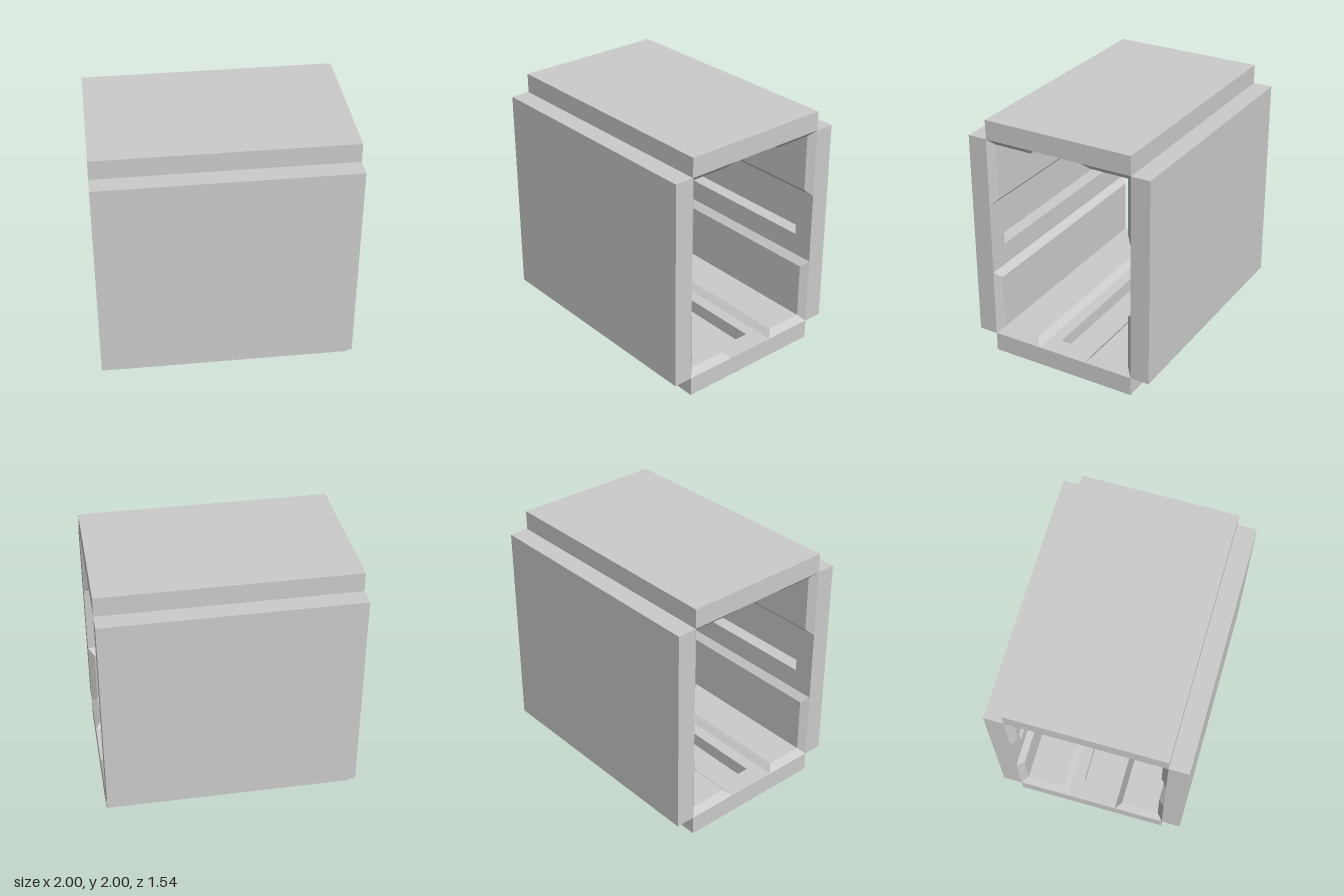
import * as THREE from 'three';

const material = new THREE.MeshStandardMaterial({ color: 0xcccccc, flatShading: true });

const THICK = 0.155;   // panel thickness
const RAISE = 0.05;    // pad height and bevel width
const SLOT = { hx: 0.835, hy: 0.11, depth: 0.11 };

// Joins rectangular sections [halfX, y0, y1, z] in order and closes both ends
function loft(sections, name) {
  const rings = sections.map(([hx, y0, y1, z]) => [
    [-hx, y0, z], [hx, y0, z], [hx, y1, z], [-hx, y1, z],
  ]);
  const pos = [];
  const quad = (a, b, c, d) => [a, b, c, a, c, d].forEach((p) => pos.push(...p));
  quad(...rings[0]);
  for (let r = 0; r + 1 < rings.length; r++) {
    for (let i = 0; i < 4; i++) {
      const j = (i + 1) % 4;
      quad(rings[r][i], rings[r + 1][i], rings[r + 1][j], rings[r][j]);
    }
  }
  quad(...[...rings[rings.length - 1]].reverse());
  const geometry = new THREE.BufferGeometry();
  geometry.setAttribute('position', new THREE.Float32BufferAttribute(pos, 3));
  geometry.computeVertexNormals();
  const mesh = new THREE.Mesh(geometry, material);
  mesh.name = name;
  return mesh;
}

// Panel facing +z: outer face at z = reach, slot and two bevelled pads inside
function panel(name, reach, halfHeight, padStart, angle) {
  const group = new THREE.Group();
  group.name = name;
  const inner = reach - THICK;

  // Slab with a blind slot in its inner face
  group.add(loft([
    [1, -halfHeight, halfHeight, reach],
    [1, -halfHeight, halfHeight, inner],
    [SLOT.hx, -SLOT.hy, SLOT.hy, inner],
    [SLOT.hx, -SLOT.hy, SLOT.hy, inner + SLOT.depth],
  ], 'slab'));

  // Raised pads, bevelled on all four sides
  for (const [y0, y1] of [[padStart, halfHeight], [-halfHeight, -padStart]]) {
    group.add(loft([
      [1, y0, y1, inner],
      [1 - RAISE, y0 + RAISE, y1 - RAISE, inner - RAISE],
    ], 'pad'));
  }

  group.position.y = 1;
  group.rotation.x = angle;
  return group;
}

export function createModel() {
  const model = new THREE.Group();
  model.name = 'openSleeve';
  model.add(
    panel('frontPanel', 0.77, 0.845, 0.29, 0),
    panel('backPanel', 0.77, 0.845, 0.29, Math.PI),
    panel('topPanel', 1, 0.615, 0.205, -Math.PI / 2),
    panel('bottomPanel', 1, 0.615, 0.205, Math.PI / 2),
  );
  return model;
}
